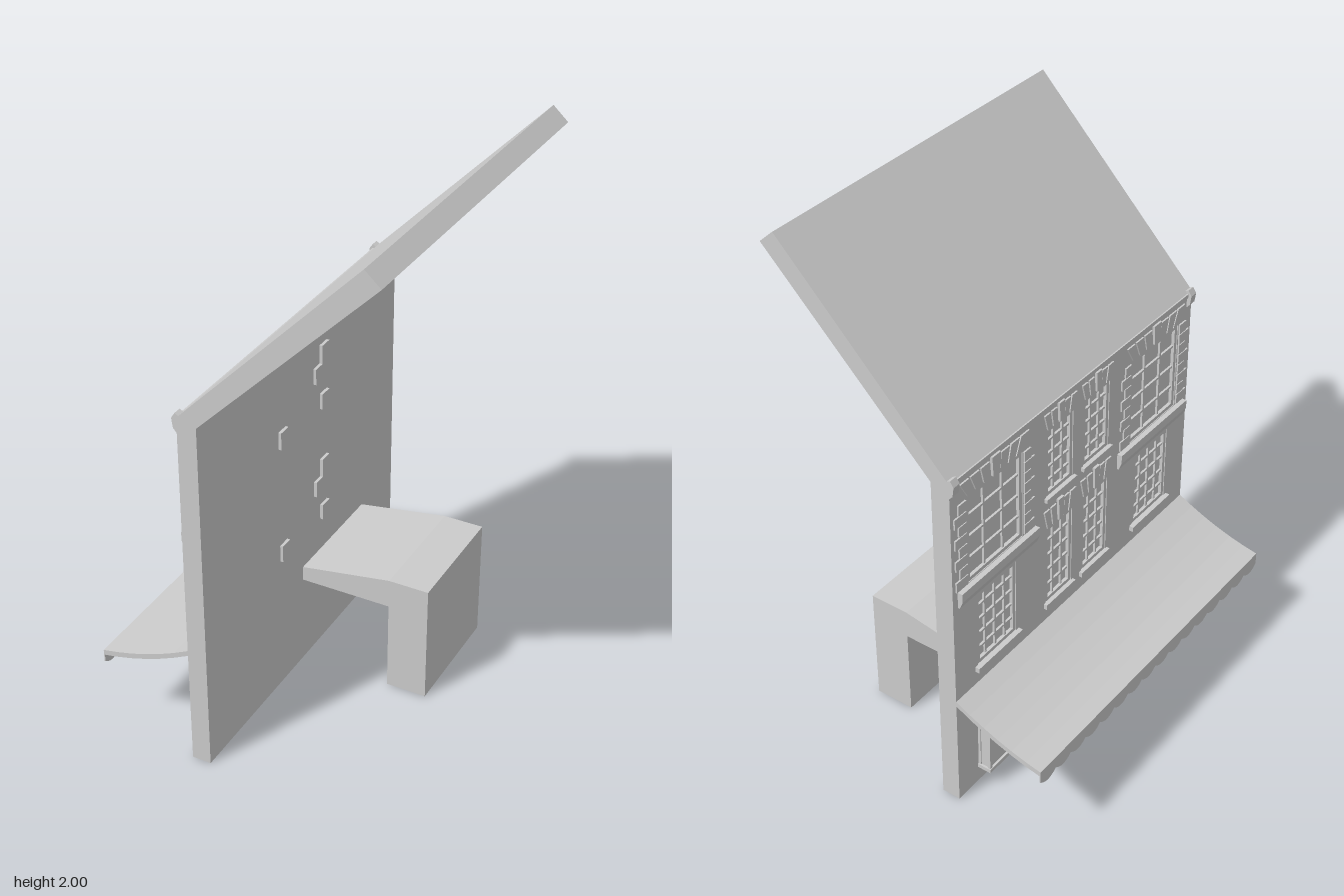
import * as THREE from 'three';

const mat = new THREE.MeshStandardMaterial({ color: 0xcccccc, flatShading: true, side: THREE.DoubleSide });
const W = 0.68;        // half width of the house along z
const FACE = -0.175;   // outer plane of the facade
const GLASS = -0.16;   // plane of the recessed panes

function add(parent, name, geo) {
  const m = new THREE.Mesh(geo, mat);
  m.name = name;
  parent.add(m);
  return m;
}

// Box given by its limits on each axis
function box(parent, name, x0, x1, y0, y1, z0, z1) {
  const g = new THREE.BoxGeometry(x1 - x0, y1 - y0, z1 - z0);
  g.translate((x0 + x1) / 2, (y0 + y1) / 2, (z0 + z1) / 2);
  return add(parent, name, g);
}

const shapeOf = pts => new THREE.Shape(pts.map(p => new THREE.Vector2(...p)));

// Profile in x/y, swept along z
function sweep(parent, name, pts, z0, z1) {
  const g = new THREE.ExtrudeGeometry(shapeOf(pts), { depth: z1 - z0, bevelEnabled: false });
  return add(parent, name, g.translate(0, 0, z0));
}

// Outline in z/y, thickened outward (towards -x) from x
function plate(parent, name, shape, x, depth) {
  const g = new THREE.ExtrudeGeometry(shape, { depth, bevelEnabled: false, curveSegments: 6 });
  return add(parent, name, g.rotateY(-Math.PI / 2).translate(x, 0, 0));
}

const rect = (z0, z1, y0, y1) => [[z0, y0], [z1, y0], [z1, y1], [z0, y1]];

// Frame and glazing bars inside an opening
function glazing(parent, name, z0, z1, y0, y1, cols, rows) {
  const g = new THREE.Group();
  g.name = name;
  const f = 0.014, b = 0.004, xf = FACE + 0.003, xb = FACE + 0.007;
  for (const [a, c] of [[z0, z0 + f], [z1 - f, z1]]) box(g, 'frameSide', xf, GLASS, y0, y1, a, c);
  for (const [a, c] of [[y0, y0 + f], [y1 - f, y1]]) box(g, 'frameRail', xf, GLASS, a, c, z0 + f, z1 - f);
  for (let i = 1; i < cols; i++) {
    const z = z0 + (z1 - z0) * i / cols;
    box(g, 'verticalBar', xb, GLASS, y0 + f, y1 - f, z - b, z + b);
  }
  for (let i = 1; i < rows; i++) {
    const y = y0 + (y1 - y0) * i / rows;
    box(g, 'crossBar', xb, GLASS, y - b, y + b, z0 + f, z1 - f);
  }
  parent.add(g);
}

// Flat arch of splayed stones, with a taller middle stone
function lintel(parent, z0, z1, y0, y1, n) {
  const mid = (z0 + z1) / 2, w = (z1 - z0) / n, flare = 1.25;
  for (let i = 0; i < n; i++) {
    const a = z0 + w * i + 0.003, c = z0 + w * (i + 1) - 0.003;
    const key = i === (n - 1) / 2;
    const top = key ? y1 + 0.012 : y1;
    const s = shapeOf([[a, y0], [c, y0], [mid + (c - mid) * flare, top], [mid + (a - mid) * flare, top]]);
    plate(parent, 'lintelStone', s, FACE, key ? 0.01 : 0.006);
  }
}

export function createModel() {
  const model = new THREE.Group();
  model.name = 'houseFront';

  // Openings as [z0, z1, y0, y1, columns, rows], listed for the +z half
  const tall = [0.03, 0.18, 0.985, 1.255, 3, 5];
  const low = [0.03, 0.18, 0.53, 0.85, 3, 5];
  const outer = [0.35, 0.56, 0.53, 0.83, 4, 5];
  const large = [0.31, 0.60, 0.91, 1.25, 3, 4];
  const windows = [];
  for (const [z0, z1, ...r] of [tall, low, outer, large]) windows.push([z0, z1, ...r], [-z1, -z0, ...r]);
  const door = [-0.09, 0.09, 0.012, 0.34];

  // Wall core and outer skin with openings
  sweep(model, 'wall', [[GLASS, 0], [-0.105, 0], [-0.105, 1.33], [GLASS, 1.365]], -W, W);
  const skin = shapeOf(rect(-W, W, 0, 1.35));
  for (const w of [...windows, door]) {
    skin.holes.push(new THREE.Path(rect(...w.slice(0, 4)).map(p => new THREE.Vector2(...p))));
  }
  plate(model, 'facade', skin, GLASS, GLASS - FACE);

  // Roof slope in two lengths
  const roof = [[FACE, 1.35], [-0.105, 1.33], [0.515, 1.95], [0.46, 2]];
  sweep(model, 'roofLeft', roof, -W, -0.23);
  sweep(model, 'roofRight', roof, -0.23, W);

  // Windows, sills, flat arches
  for (const w of windows) glazing(model, 'window', ...w);
  for (const s of [-1, 1]) {
    const span = (a, c) => s > 0 ? [a, c] : [-c, -a];
    box(model, 'upperSill', -0.188, FACE, 0.97, 0.985, ...span(0.02, 0.19));
    box(model, 'lowerSill', -0.188, FACE, 0.51, 0.53, ...span(0.02, 0.19));
    box(model, 'outerSill', -0.192, FACE, 0.51, 0.53, ...span(0.335, 0.575));
    lintel(model, ...span(0.03, 0.18), 1.257, 1.32, 5);
    lintel(model, ...span(0.03, 0.18), 0.855, 0.93, 5);
    lintel(model, ...span(0.31, 0.60), 1.257, 1.32, 7);

    // Deep moulded ledge below each large window
    sweep(model, 'ledge', [[FACE, 0.845], [-0.182, 0.845], [-0.194, 0.875], [-0.194, 0.908], [FACE, 0.908]],
      ...span(0.24, 0.655));

    // Stone blocks beside the large windows, alternating in length
    for (let i = 0; i < 8; i++) {
      const y = 0.915 + i * 0.042, k = i % 2 ? 0.02 : 0;
      box(model, 'quoin', -0.181, FACE, y, y + 0.038, ...span(0.25 + k, 0.305));
      box(model, 'quoin', -0.181, FACE, y, y + 0.038, ...span(0.605, 0.665 - k));
    }

    // Eave bracket at each corner
    sweep(model, 'eaveBracket', [[FACE, 1.295], [-0.188, 1.31], [-0.193, 1.345], [-0.18, 1.365], [-0.16, 1.355]],
      ...span(0.65, W));

    // Projecting shop window with framed sides
    const bay = new THREE.Group();
    bay.name = 'shopWindow';
    const [b0, b1] = span(0.17, 0.57);
    box(bay, 'bayBody', -0.219, FACE, 0.075, 0.28, b0 + 0.004, b1 - 0.004);
    box(bay, 'bayBase', -0.228, FACE, 0.065, 0.08, b0 - 0.004, b1 + 0.004);
    box(bay, 'bayTop', -0.228, FACE, 0.275, 0.29, b0 - 0.004, b1 + 0.004);
    for (let i = 0; i <= 4; i++) {
      const z = b0 + 0.006 + (b1 - b0 - 0.012) * i / 4;
      box(bay, 'bayPost', -0.225, -0.215, 0.08, 0.275, z - 0.006, z + 0.006);
    }
    for (const z of [b0, b1 - 0.006]) box(bay, 'bayRearPost', -0.185, FACE, 0.08, 0.275, z, z + 0.006);
    model.add(bay);
  }
  box(model, 'eaveStrip', -0.18, FACE, 1.335, 1.35, -W, W);

  // Door and step
  glazing(model, 'doorFrame', ...door, 2, 3);
  box(model, 'doorStep', -0.26, FACE, 0, 0.01, -0.09, 0.12);

  // Sagging canopy with scalloped valance
  const top = new THREE.QuadraticBezierCurve(
    new THREE.Vector2(FACE, 0.455), new THREE.Vector2(-0.34, 0.365), new THREE.Vector2(-0.515, 0.335)).getPoints(6);
  const canopy = [...top.map(p => [p.x, p.y]), ...top.reverse().map(p => [p.x, p.y - 0.02])];
  sweep(model, 'canopy', canopy, -W, W);
  const n = 16, step = 2 * W / n;
  const valance = new THREE.Shape();
  valance.moveTo(W, 0.325);
  valance.lineTo(-W, 0.325);
  valance.lineTo(-W, 0.288);
  for (let i = 0; i < n; i++) {
    const z = -W + i * step;
    valance.quadraticCurveTo(z + step / 2, 0.252, z + step, 0.288);
  }
  plate(model, 'valance', valance, -0.511, 0.004);

  // Rear arm and leg
  sweep(model, 'rearPassage', [[-0.105, 0.4], [-0.105, 0.345], [0.235, 0.345], [0.235, 0], [0.385, 0],
    [0.385, 0.455], [0.235, 0.455]], -0.435, 0.02);

  // Small blocks on the inner wall, repeated on two floors
  for (const y of [0, 0.455]) {
    const x0 = -0.105, x1 = -0.094;
    box(model, 'innerBlock', x0, x1, y + 0.525, y + 0.59, 0.13, 0.18);
    box(model, 'innerBlock', x0, x1, y + 0.53, y + 0.59, -0.16, -0.11);
    box(model, 'innerTallBlock', x0, x1, y + 0.65, y + 0.78, -0.16, -0.11);
    box(model, 'innerSideBlock', x0, x1, y + 0.65, y + 0.71, -0.11, -0.065);
  }
  return model;
}
